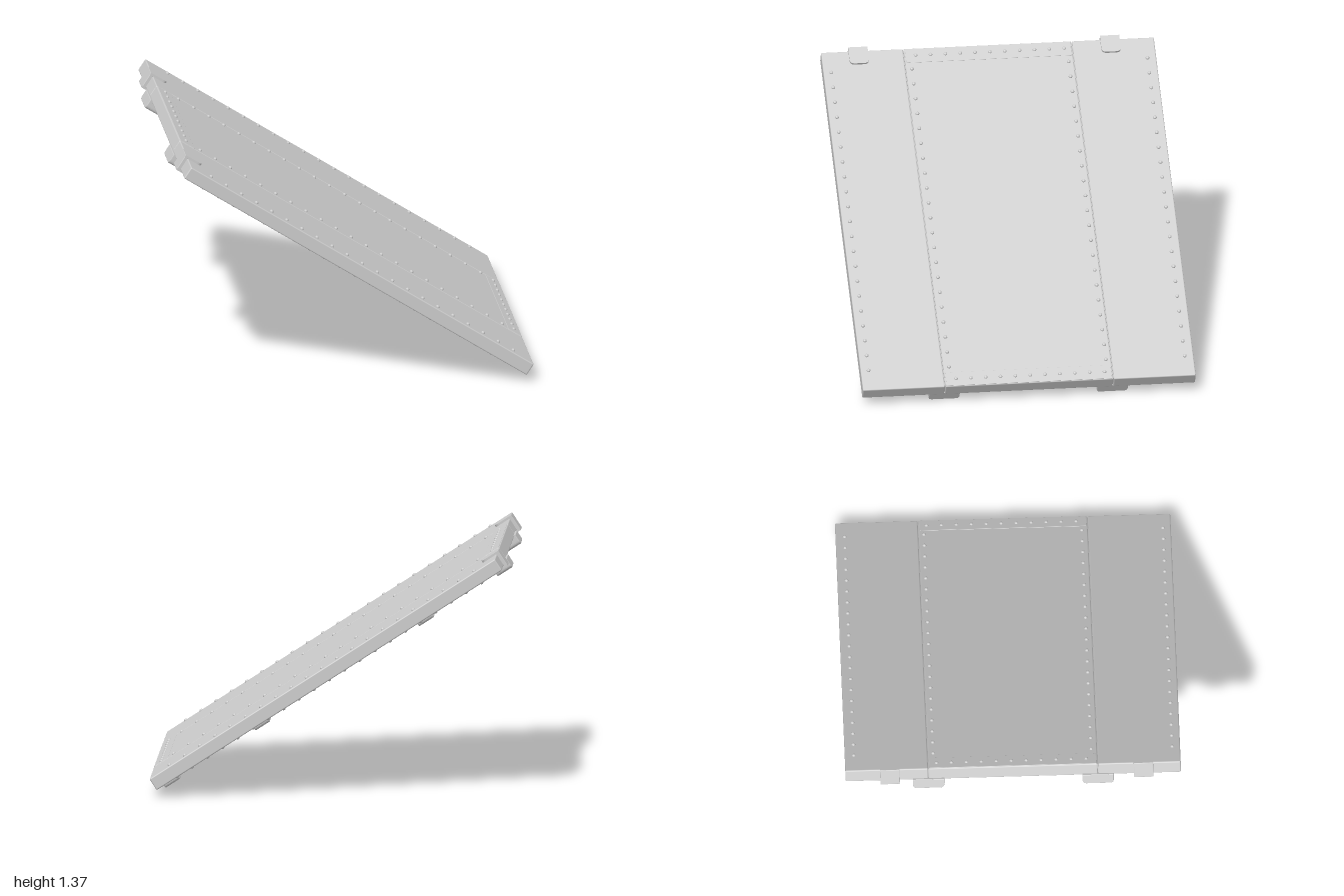
import * as THREE from 'three';
import { RoundedBoxGeometry } from 'three/addons/geometries/RoundedBoxGeometry.js';

const grey = new THREE.MeshStandardMaterial({ color: 0xcccccc });

// Everything is laid out flat (x down the slope, y through the panel), then tilted.
const TOP = 0.626, BOTTOM = 0.551, X0 = -1.504, X1 = 0.783;

export function createModel() {
  const model = new THREE.Group();
  model.name = 'rampPanel';
  const tilt = new THREE.Group();
  tilt.name = 'tiltedAssembly';
  tilt.rotation.z = -THREE.MathUtils.degToRad(33);
  tilt.position.y = 0.003;
  model.add(tilt);

  const add = (name, geometry, x = 0, y = 0, z = 0) => {
    const mesh = new THREE.Mesh(geometry, grey);
    mesh.name = name;
    mesh.position.set(x, y, z);
    tilt.add(mesh);
    return mesh;
  };
  const slab = (name, x0, x1, y0, y1, z0, z1, r) =>
    add(name, new RoundedBoxGeometry(x1 - x0, y1 - y0, z1 - z0, 2, r),
      (x0 + x1) / 2, (y0 + y1) / 2, (z0 + z1) / 2);

  // Three planks with narrow seams, closed by a core just below the surface
  slab('sidePlankBack', X0, X1, BOTTOM, TOP, -0.93, -0.472, 0.007);
  slab('centrePlank', X0, X1, BOTTOM, TOP, -0.469, 0.469, 0.007);
  slab('sidePlankFront', X0, X1, BOTTOM, TOP, 0.472, 0.93, 0.007);
  add('core', new THREE.BoxGeometry(X1 - X0 - 0.02, 0.055, 1.8), (X0 + X1) / 2, 0.5885, 0);

  // Thin riveted strips across both ends of the centre plank
  slab('upperEndStrip', X0 + 0.004, -1.407, TOP - 0.006, TOP + 0.002, -0.462, 0.462, 0.002);
  slab('lowerEndStrip', 0.688, X1 - 0.004, TOP - 0.006, TOP + 0.002, -0.462, 0.462, 0.002);

  // Rivets: domed heads on both faces
  const spots = [];
  for (let i = 0; i < 21; i++)
    for (const z of [-0.88, -0.44, 0.436, 0.886]) spots.push([-1.365 + i * 0.1008, z]);
  for (let i = 0; i < 11; i++)
    for (const x of [-1.455, 0.733]) spots.push([x, -0.424 + i * 0.083]);
  const head = new THREE.SphereGeometry(0.011, 10, 6);
  head.scale(1, 0.9, 1);
  for (const [x, z] of spots) {
    add('rivet', head, x, TOP + 0.001, z);
    add('undersideRivet', head, x, BOTTOM, z);
  }

  // Foot block: rounded lower corners, extruded along the slope
  const foot = new THREE.Shape();
  foot.moveTo(-0.087, 0.06);
  foot.lineTo(-0.087, 0.022);
  foot.quadraticCurveTo(-0.087, 0, -0.065, 0);
  foot.lineTo(0.065, 0);
  foot.quadraticCurveTo(0.087, 0, 0.087, 0.022);
  foot.lineTo(0.087, 0.06);
  foot.closePath();
  const footGeometry = new THREE.ExtrudeGeometry(foot, {
    depth: 0.086, bevelEnabled: true, bevelSize: 0.003, bevelThickness: 0.005,
    bevelOffset: -0.003, bevelSegments: 2, curveSegments: 6,
  });
  footGeometry.translate(0, 0, -0.043);
  footGeometry.rotateY(Math.PI / 2);

  // Two rods under the seams, held by four feet each
  const rodGeometry = new THREE.CylinderGeometry(0.02, 0.02, 2.2, 16);
  rodGeometry.rotateZ(Math.PI / 2);
  for (const z of [-0.47, 0.47]) {
    add('undersideRod', rodGeometry, -0.366, 0.546, z);
    for (const x of [-1.468, -0.948, 0.137, 0.731]) add('foot', footGeometry, x, 0.5, z);
  }

  // Hook clips over the upper end: tabs with rounded tips joined by an end plate
  const tab = new THREE.Shape();
  tab.moveTo(-1.522, -0.054);
  tab.lineTo(-1.44, -0.054);
  tab.quadraticCurveTo(-1.412, -0.054, -1.412, -0.026);
  tab.lineTo(-1.412, 0.026);
  tab.quadraticCurveTo(-1.412, 0.054, -1.44, 0.054);
  tab.lineTo(-1.522, 0.054);
  tab.closePath();
  const tabGeometry = new THREE.ExtrudeGeometry(tab, {
    depth: 0.012, bevelEnabled: false, curveSegments: 6,
  });
  tabGeometry.rotateX(-Math.PI / 2);
  for (const z of [-0.684, 0.723]) {
    add('clipTopTab', tabGeometry, 0, TOP, z);
    add('clipBottomTab', tabGeometry, 0, BOTTOM - 0.012, z);
    slab('clipEndPlate', -1.523, -1.5, BOTTOM - 0.012, TOP + 0.012, z - 0.054, z + 0.054, 0.004);
  }
  return model;
}
